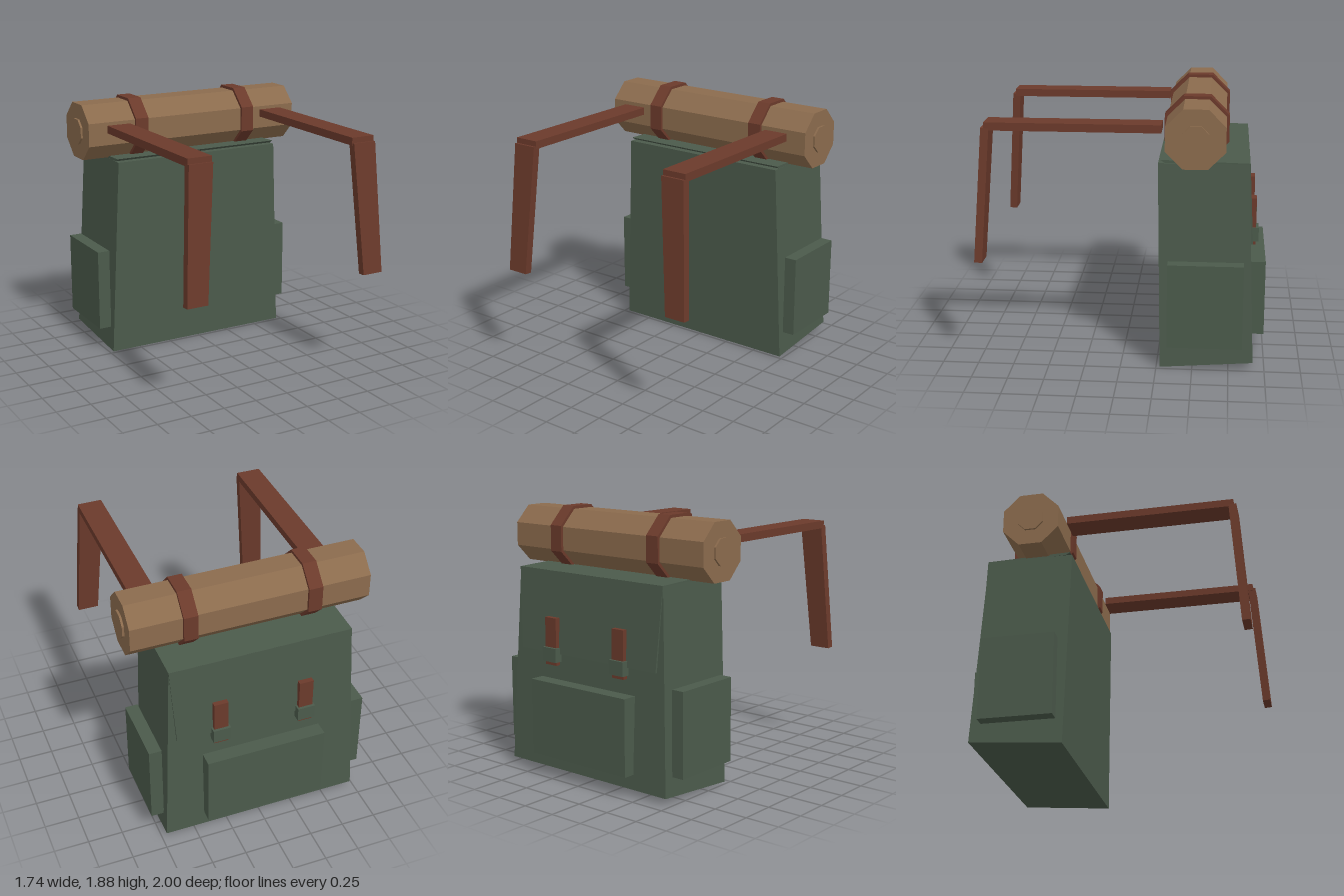
import * as THREE from 'three';

const canvas = new THREE.MeshStandardMaterial({ color: 0x4b5a4b });
canvas.name = 'green canvas';
const leather = new THREE.MeshStandardMaterial({ color: 0x6b3a2b });
leather.name = 'brown leather';
const blanket = new THREE.MeshStandardMaterial({ color: 0x8b6b4d });
blanket.name = 'tan blanket';

// Six-sided block between two rings, each [x0, x1, zFront, zBack, yFront, yBack]
function taperedBlock(lower, upper) {
  const ring = ([x0, x1, zf, zb, yf, yb]) => [[x0, yf, zf], [x1, yf, zf], [x1, yb, zb], [x0, yb, zb]];
  const a = ring(lower), b = ring(upper), pos = [];
  const quad = (p, q, r, s) => [p, q, r, p, r, s].forEach(v => pos.push(...v));
  for (let i = 0; i < 4; i++) {
    const j = (i + 1) % 4;
    quad(a[i], a[j], b[j], b[i]);
  }
  quad(...b);
  quad(a[3], a[2], a[1], a[0]);
  const g = new THREE.BufferGeometry();
  g.setAttribute('position', new THREE.Float32BufferAttribute(pos, 3));
  g.computeVertexNormals();
  return g;
}

function boxBetween(x0, x1, y0, y1, z0, z1) {
  return new THREE.BoxGeometry(x1 - x0, y1 - y0, z1 - z0)
    .translate((x0 + x1) / 2, (y0 + y1) / 2, (z0 + z1) / 2);
}

// Flat-topped octagonal drum along x, sized by the distance to its flats
function drum(apothem, length, x) {
  const r = apothem / Math.cos(Math.PI / 8);
  const g = new THREE.CylinderGeometry(r, r, length, 8)
    .rotateY(Math.PI / 8).rotateZ(Math.PI / 2).translate(x, 1.66, -0.505).toNonIndexed();
  g.computeVertexNormals();
  return g;
}

export function createModel() {
  const model = new THREE.Group();
  model.name = 'backpack';
  const add = (name, geometry, material) => {
    const mesh = new THREE.Mesh(geometry, material);
    mesh.name = name;
    model.add(mesh);
  };

  // Main bag, narrowing upward, with a raised back edge underneath
  add('bag', taperedBlock(
    [-0.72, 0.72, -0.275, -0.92, 0.005, 0.055],
    [-0.655, 0.655, -0.25, -0.865, 1.452, 1.455]), canvas);

  // Flap: lid on top and a thin panel hanging down the back
  add('flapLid', taperedBlock(
    [-0.655, 0.655, -0.295, -0.865, 1.455, 1.445],
    [-0.655, 0.655, -0.265, -0.868, 1.475, 1.46]), canvas);
  add('flapPanel', taperedBlock(
    [-0.62, 0.62, -0.875, -0.902, 0.885, 0.885],
    [-0.655, 0.655, -0.845, -0.87, 1.455, 1.46]), canvas);

  // Back pocket
  add('backPocket', boxBetween(-0.435, 0.435, 0.16, 0.7, -1, -0.88), canvas);

  // Rolled blanket
  add('bedroll', drum(0.2, 1.71, 0), blanket);

  for (const s of [-1, 1]) {
    const side = s > 0 ? 'left' : 'right';
    const span = (a, b) => (s > 0 ? [a, b] : [-b, -a]);

    add(side + 'SidePocket', boxBetween(...span(0.712, 0.803), 0.185, 0.78, -0.842, -0.325), canvas);

    // Closing strap and its buckle
    add(side + 'ClosingStrap', boxBetween(...span(0.26, 0.362), 0.805, 1.14, -0.927, -0.89), leather);
    add(side + 'Buckle', boxBetween(...span(0.248, 0.374), 0.83, 0.93, -0.946, -0.885), canvas);

    // Bedroll end core and binding strap
    add(side + 'BedrollCore', drum(0.09, 0.04, s * 0.85), blanket);
    add(side + 'BedrollStrap', drum(0.22, 0.1, s * 0.4425), leather);

    // Shoulder strap: level run forward, then a splayed drop
    add(side + 'ShoulderStrap', boxBetween(...span(0.545, 0.723), 1.67, 1.725, -0.275, 0.917), leather);
    add(side + 'ShoulderStrapDrop', taperedBlock(
      [...span(0.62, 0.775), 1, 0.945, 0.757, 0.753],
      [...span(0.547, 0.723), 0.937, 0.882, 1.688, 1.684]), leather);
  }
  return model;
}
